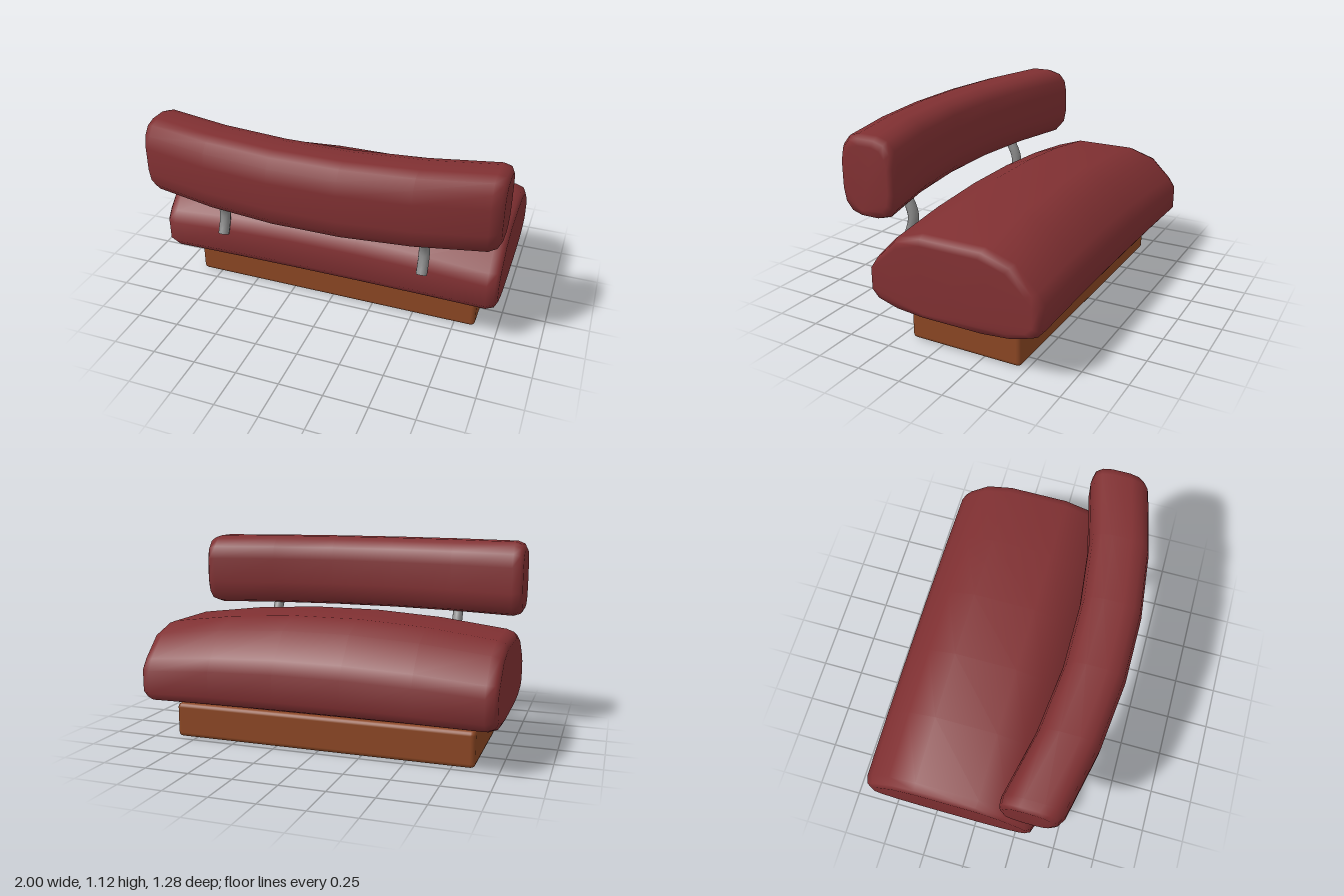
import * as THREE from 'three';
import { RoundedBoxGeometry } from 'three/addons/geometries/RoundedBoxGeometry.js';

const leather = new THREE.MeshStandardMaterial({ color: 0x803032 });
leather.name = 'red leather';
const wood = new THREE.MeshStandardMaterial({ color: 0x8a4623 });
wood.name = 'brown wood';
const metal = new THREE.MeshStandardMaterial({ color: 0x8a8a8a });
metal.name = 'grey metal';

// Stations along the width: x, bend amount (0 middle to 1 end), edge inset
const half = [[0.19, 0, 0], [0.57, 0.34, 0], [0.94, 1, 0], [0.983, 1.1, 0.015], [1, 1.14, 0.045]];
const stations = [...half.map(([x, b, i]) => [-x, b, i]).reverse(), ...half];

// Closed cushion lofted along x; bend(z, y, amount) reshapes each [z, y] section
function cushion(profile, bend) {
  const n = profile.length, pos = [], idx = [];
  for (const [x, amount, inset] of stations) {
    const pts = profile.map(([z, y]) => bend(z, y, amount));
    const mid = [0, 1].map((k) => {
      const v = pts.map((p) => p[k]);
      const lo = Math.min(...v), hi = Math.max(...v);
      return { c: (lo + hi) / 2, s: 1 - (2 * inset) / (hi - lo) };
    });
    for (const [z, y] of pts) {
      pos.push(x, mid[1].c + (y - mid[1].c) * mid[1].s, mid[0].c + (z - mid[0].c) * mid[0].s);
    }
  }
  for (let i = 0; i < stations.length - 1; i++) {
    for (let j = 0; j < n; j++) {
      const k = (j + 1) % n, a = i * n + j, b = a + n, c = (i + 1) * n + k, d = i * n + k;
      idx.push(a, b, c, a, c, d);
    }
  }
  // End caps
  const last = (stations.length - 1) * n;
  for (let j = 1; j < n - 1; j++) {
    idx.push(0, j, j + 1, last, last + j + 1, last + j);
  }
  const geo = new THREE.BufferGeometry();
  geo.setAttribute('position', new THREE.Float32BufferAttribute(pos, 3));
  geo.setIndex(idx);
  geo.computeVertexNormals();
  return geo;
}

export function createModel() {
  const model = new THREE.Group();
  model.name = 'bench';
  const add = (name, geo, mat, parent = model) => {
    const mesh = new THREE.Mesh(geo, mat);
    mesh.name = name;
    parent.add(mesh);
    return mesh;
  };

  // Wooden plinth
  add('base', new RoundedBoxGeometry(1.74, 0.2, 0.655, 2, 0.025), wood).position.set(0, 0.102, -0.138);

  // Domed seat, lower toward its ends
  const seatHalf = [[0.5, 0.31], [0.5, 0.46], [0.46, 0.53], [0.34, 0.67], [0.18, 0.73]];
  const seatUnder = [[0.18, 0.2], [0.34, 0.217], [0.46, 0.258]];
  const seatSide = [...seatUnder, ...seatHalf];
  const seatProfile = [...seatSide, ...seatSide.map(([z, y]) => [-z, y]).reverse()]
    .map(([z, y]) => [z - 0.14, y]);
  add('seat', cushion(seatProfile, (z, y, t) => [z, 0.2 + (y - 0.2) * (1 - 0.132 * Math.min(t, 1))]), leather);

  // Backrest, swept backward toward its ends
  const quarter = [[0.17, 0.075], [0.155, 0.15], [0.115, 0.197], [0.055, 0.215]];
  const backSide = [...quarter.map(([z, y]) => [z, -y]).reverse(), ...quarter];
  const backProfile = [...backSide, ...backSide.map(([z, y]) => [-z, y]).reverse()]
    .map(([z, y]) => [z + 0.47, y + 0.91]);
  add('backrest', cushion(backProfile, (z, y, t) => [z - 0.127 * t, y]), leather);

  // Curved rods joining the seat to the backrest
  const curve = new THREE.CatmullRomCurve3([
    [0.44, 0.76], [0.395, 0.69], [0.36, 0.62], [0.35, 0.565], [0.365, 0.5], [0.39, 0.443],
  ].map(([z, y]) => new THREE.Vector3(0, y, z)));
  for (const [side, x] of [['left', 0.59], ['right', -0.595]]) {
    const bracket = new THREE.Group();
    bracket.name = side + 'Bracket';
    bracket.position.x = x;
    add('rod', new THREE.TubeGeometry(curve, 12, 0.031, 12, false), metal, bracket);
    const cap = add('rodEnd', new THREE.CircleGeometry(0.031, 12), metal, bracket);
    cap.position.copy(curve.getPoint(1));
    cap.quaternion.setFromUnitVectors(new THREE.Vector3(0, 0, 1), curve.getTangent(1));
    model.add(bracket);
  }
  return model;
}
